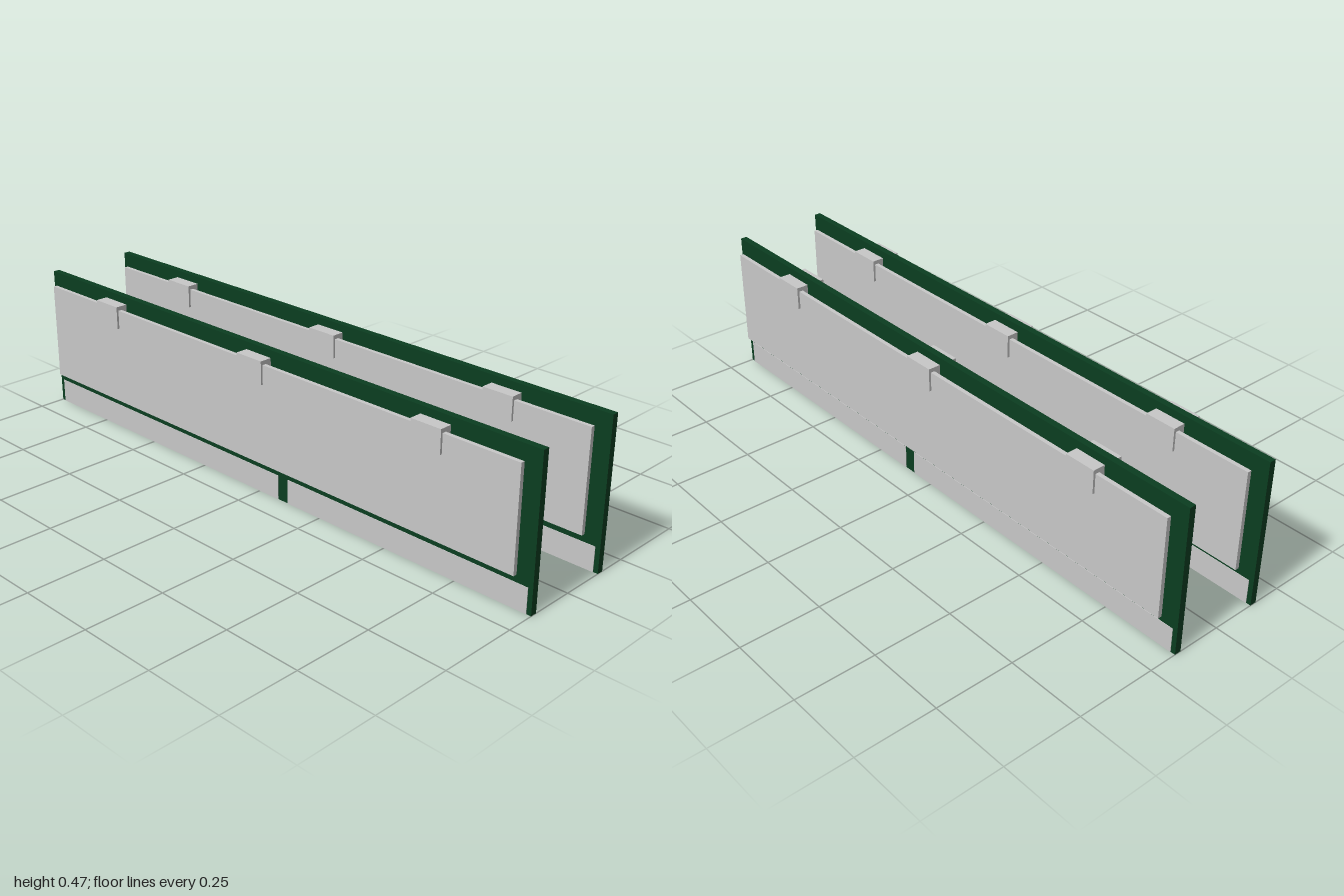
import * as THREE from 'three';

export function createModel() {
  const board = new THREE.MeshStandardMaterial({ name: 'boardGreen', color: 0x0b3d20 });
  const silver = new THREE.MeshStandardMaterial({ name: 'silver', color: 0xc8c8c8 });
  const black = new THREE.MeshStandardMaterial({ name: 'chipBlack', color: 0x222222 });

  // Box given by its extents: [min, max] along x, y and z
  const addBox = (parent, name, material, [x0, x1], [y0, y1], [z0, z1]) => {
    const mesh = new THREE.Mesh(new THREE.BoxGeometry(x1 - x0, y1 - y0, z1 - z0), material);
    mesh.position.set((x0 + x1) / 2, (y0 + y1) / 2, (z0 + z1) / 2);
    mesh.name = name;
    parent.add(mesh);
  };
  // Extents along x on one face of the board
  const onSide = (side, near, far) => (side > 0 ? [near, far] : [-far, -near]);

  const createStick = (x) => {
    const stick = new THREE.Group();
    stick.name = 'memoryStick';
    stick.position.x = x;
    addBox(stick, 'circuitBoard', board, [-0.0105, 0.0105], [0, 0.467], [-1, 1]);

    for (const side of [-1, 1]) {
      // Two rows of nine chips
      for (const y of [0.115, 0.28]) {
        for (let i = -4; i <= 4; i++) {
          const z = i * 0.197;
          addBox(stick, 'chip', black, onSide(side, 0.0105, 0.024), [y, y + 0.117], [z - 0.078, z + 0.078]);
        }
      }
      // Heat spreader plate standing clear of the chips
      addBox(stick, 'heatSpreader', silver, onSide(side, 0.03, 0.043), [0.114, 0.43], [-0.96, 0.96]);
      // Edge contacts, split by the key
      for (const range of [[0.12, 0.985], [-0.985, 0.08]]) {
        addBox(stick, 'edgeContacts', silver, onSide(side, 0.0105, 0.012), [0, 0.078], range);
      }
    }

    // Clips bridging both spreaders
    for (const z of [-0.663, 0, 0.663]) {
      addBox(stick, 'clip', silver, [-0.05, 0.05], [0.37, 0.443], [z - 0.051, z + 0.051]);
    }
    return stick;
  };

  const model = new THREE.Group();
  model.name = 'memorySticks';
  model.add(createStick(-0.15), createStick(0.15));
  return model;
}
